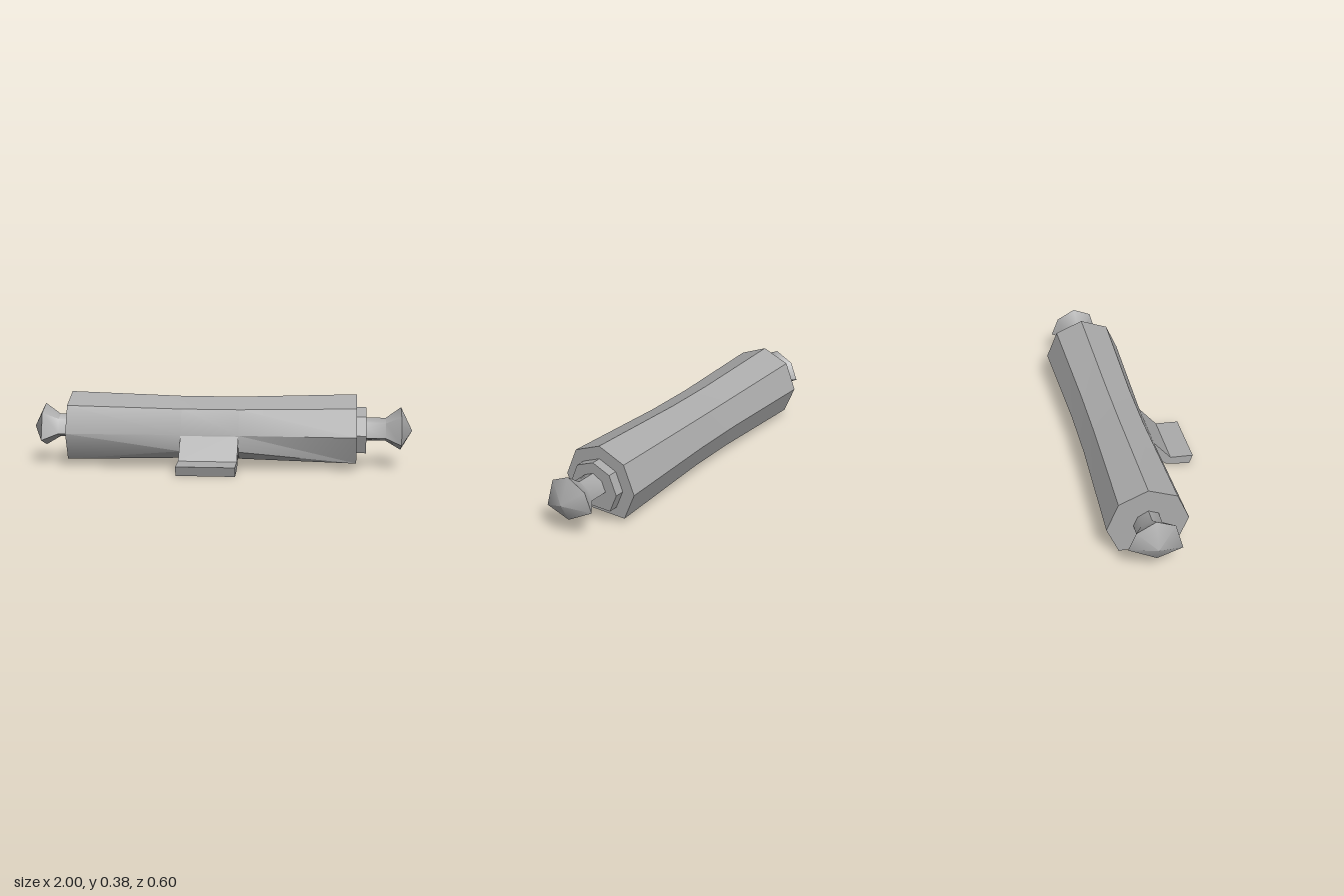
import * as THREE from 'three';
import { toCreasedNormals } from 'three/addons/utils/BufferGeometryUtils.js';

const CZ = -0.097, CY = 0.178;

// Skin a row of cross-sections along x; each is { x, ring: [[z, y], ...] }, clockwise from the top toward the front.
function loft(sections, crease) {
  const out = [];
  const put = (x, [z, y]) => out.push(x, y, z);
  const n = sections[0].ring.length;
  for (let i = 0; i < sections.length - 1; i++) {
    const s = sections[i], t = sections[i + 1];
    for (let j = 0; j < n; j++) {
      const k = (j + 1) % n;
      put(s.x, s.ring[j]); put(s.x, s.ring[k]); put(t.x, t.ring[k]);
      put(s.x, s.ring[j]); put(t.x, t.ring[k]); put(t.x, t.ring[j]);
    }
  }
  // Flat end caps
  const first = sections[0], last = sections[sections.length - 1];
  for (let j = 0; j < n; j++) {
    const k = (j + 1) % n;
    put(first.x, [CZ, CY]); put(first.x, first.ring[k]); put(first.x, first.ring[j]);
    put(last.x, [CZ, CY]); put(last.x, last.ring[j]); put(last.x, last.ring[k]);
  }
  const g = new THREE.BufferGeometry();
  g.setAttribute('position', new THREE.Float32BufferAttribute(out, 3));
  return toCreasedNormals(g, crease);
}

// Octagon without its lowest corner, giving a flat underside
function barrelRing(r) {
  const ring = [];
  for (let i = 0; i < 8; i++) {
    if (i === 4) continue;
    const a = i * Math.PI / 4;
    ring.push([CZ + r * Math.sin(a), CY + r * Math.cos(a)]);
  }
  return ring;
}

export function createModel() {
  const group = new THREE.Group();
  const grey = new THREE.MeshStandardMaterial({ color: 0xaaaaaa });
  grey.name = 'grey';
  const add = (name, geometry) => {
    const mesh = new THREE.Mesh(geometry, grey);
    mesh.name = name;
    group.add(mesh);
    return mesh;
  };

  // Barrel, slightly waisted, swelling at the lower front where the tab joins
  const endRing = barrelRing(0.2);
  endRing.splice(3, 0, endRing[3]);
  const midRing = barrelRing(0.181);
  midRing.splice(3, 0, [0.08, 0.092]);
  add('barrel', loft([
    { x: -0.795, ring: endRing },
    { x: -0.195, ring: midRing },
    { x: 0.105, ring: midRing },
    { x: 0.71, ring: endRing },
  ], 0.6));

  // Bent tab at the front
  const profile = [[0.07, 0.19], [0.178, 0.058], [0.298, 0.05], [0.28, 0.001], [0.155, 0.021], [0.08, 0.083], [0.045, 0.055]];
  const shape = new THREE.Shape(profile.map(([z, y]) => new THREE.Vector2(-z, y)));
  const tab = new THREE.ExtrudeGeometry(shape, { depth: 0.3, bevelEnabled: false });
  tab.rotateY(Math.PI / 2);
  tab.translate(-0.195, 0, 0);
  add('frontTab', tab);

  // Collar on the left end only
  add('collar', loft([
    { x: 0.7, ring: barrelRing(0.134) },
    { x: 0.76, ring: barrelRing(0.134) },
  ], 0.3));

  // Uneven six-sided knobs on necks, one at each end
  const knobRing = [[-0.095, 0.313], [-0.003, 0.272], [0.035, 0.13], [-0.09, 0.09], [-0.228, 0.168], [-0.19, 0.262]];
  const scaled = (s) => knobRing.map(([z, y]) => [CZ + (z - CZ) * s, 0.19 + (y - 0.19) * s]);
  const knob = [[0.7, 0.54], [0.862, 0.54], [0.94, 1], [1, 0]];
  const stations = knob.map(([x, s]) => ({ x, ring: scaled(s) }));
  add('leftKnob', loft(stations, 0.9));
  add('rightKnob', loft(stations.map(({ x, ring }) => ({ x: -x, ring })).reverse(), 0.9));

  return group;
}
